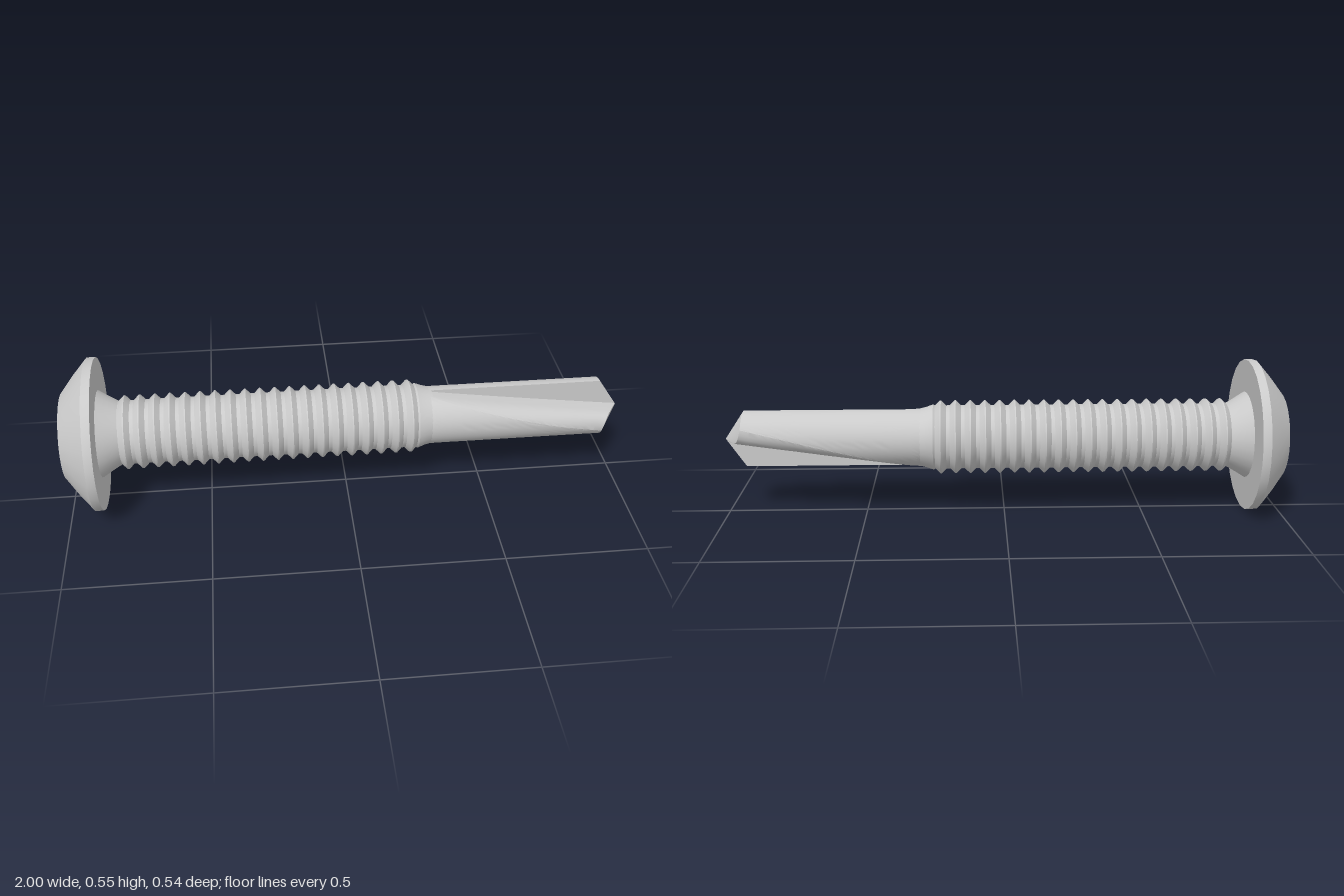
import * as THREE from 'three';
import { toCreasedNormals } from 'three/addons/utils/BufferGeometryUtils.js';

const SIDES = 26;
const HEAD_R = 0.273, FACE_R = 0.155, ROOT_R = 0.114, CREST_R = 0.132, DRILL_R = 0.104;
const DRILL_START = 0.27;

const material = new THREE.MeshStandardMaterial({ color: 0xcccccc });

function addMesh(group, name, geometry) {
  const mesh = new THREE.Mesh(toCreasedNormals(geometry, 0.5), material);
  mesh.name = name;
  group.add(mesh);
}

// Turned part along the x axis from [x, radius] pairs
function turned(profile) {
  const points = profile.map(([x, r]) => new THREE.Vector2(r, x));
  return new THREE.LatheGeometry(points, SIDES, Math.PI / 2).rotateZ(-Math.PI / 2);
}

// End face of the head with a cross-shaped recess that narrows inwards
function drivenFace(depth) {
  const rim = [];
  for (let i = 0; i < SIDES; i++) {
    const a = Math.PI / 2 + (i / SIDES) * Math.PI * 2;
    rim.push(new THREE.Vector2(Math.cos(a) * FACE_R, Math.sin(a) * FACE_R));
  }
  const shape = new THREE.Shape(rim);
  const w = 0.03, l = 0.138, cross = [];
  for (let k = 0; k < 4; k++) {
    for (const [x, y] of [[l, -w], [l, w], [w, w]]) {
      cross.push(new THREE.Vector2(x, y).rotateAround(new THREE.Vector2(), k * Math.PI / 2));
    }
  }
  shape.holes.push(new THREE.Path(cross));
  const geometry = new THREE.ExtrudeGeometry(shape, { depth, bevelEnabled: false });
  const p = geometry.attributes.position;
  for (let i = 0; i < p.count; i++) {
    const k = 1 - 0.3 * p.getZ(i) / depth;
    p.setXY(i, p.getX(i) * k, p.getY(i) * k);
  }
  return geometry.rotateY(Math.PI / 2).translate(-1, 0, 0);
}

// Drill section as [y, z] pairs; f is the height of the flute floor
function drillSection(f) {
  const a = Math.asin(f / DRILL_R) - 0.6 * (1 - f / DRILL_R);
  const half = [];
  for (let i = 0; i <= 18; i++) {
    const t = -Math.PI / 2 + (i / 18) * (a + Math.PI / 2);
    half.push([DRILL_R * Math.sin(t), DRILL_R * Math.cos(t)]);
  }
  // Rounded lip between the outside and the flute floor
  const corner = Math.sqrt(Math.max(0, DRILL_R ** 2 - f ** 2));
  const [y0, z0] = half[half.length - 1];
  for (let i = 1; i <= 6; i++) {
    const t = i / 6, u = 1 - t;
    half.push([
      u * u * y0 + 2 * u * t * f + t * t * f,
      u * u * z0 + 2 * u * t * corner * 0.93 + t * t * corner * 0.45,
    ]);
  }
  half.push([f, 0]);
  return [...half, ...half.map(([y, z]) => [-y, -z])];
}

// Two-fluted drill: sections lofted along x, closed by a conical point
function drill() {
  const rows = 20, positions = [], index = [];
  let n = 0;
  for (let i = 0; i <= rows; i++) {
    const s = i / rows;
    const section = drillSection(DRILL_R * (1 - 0.97 * s));
    n = section.length;
    for (const [y, z] of section) {
      const end = 1 - 0.07 * Math.hypot(y, z) / DRILL_R;
      positions.push(DRILL_START + s * (end - DRILL_START), y, z);
    }
  }
  const tip = positions.length / 3;
  positions.push(1, 0, 0);
  for (let j = 0; j < n; j++) {
    const k = (j + 1) % n;
    for (let i = 0; i < rows; i++) {
      const a = i * n + j, b = i * n + k;
      index.push(a, a + n, b, b, a + n, b + n);
    }
    index.push(tip, rows * n + k, rows * n + j);
  }
  const geometry = new THREE.BufferGeometry();
  geometry.setAttribute('position', new THREE.Float32BufferAttribute(positions, 3));
  geometry.setIndex(index);
  return geometry;
}

export function createModel() {
  const model = new THREE.Group();
  model.name = 'selfDrillingScrew';
  const screw = new THREE.Group();
  screw.name = 'screw';
  screw.position.y = HEAD_R;
  model.add(screw);

  // Head: domed cone, thin rim and flat underside
  addMesh(screw, 'head', turned([
    [-1, FACE_R], [-0.953, 0.217], [-0.905, HEAD_R], [-0.875, HEAD_R], [-0.875, 0.1],
  ]));
  const depth = 0.09;
  addMesh(screw, 'headFace', drivenFace(depth));
  const floor = new THREE.CircleGeometry(0.12, SIDES).rotateY(-Math.PI / 2);
  addMesh(screw, 'recessFloor', floor.translate(-1 + depth - 0.002, 0, 0));

  // Flared neck under the head
  addMesh(screw, 'neck', turned([[-0.875, 0.156], [-0.84, 0.134], [-0.805, ROOT_R]]));

  // Threaded shank: a row of ridges, then a taper to the drill
  const ridges = 20, start = -0.81, pitch = 1.065 / ridges;
  const profile = [];
  for (let i = 0; i < ridges; i++) {
    const x = start + i * pitch;
    profile.push([x, ROOT_R], [x + pitch * 0.12, ROOT_R],
      [x + pitch * 0.46, CREST_R], [x + pitch * 0.54, CREST_R], [x + pitch * 0.88, ROOT_R]);
  }
  profile.push([0.255, 0.118], [0.28, 0.109], [0.31, DRILL_R - 0.002]);
  addMesh(screw, 'threadedShank', turned(profile));

  addMesh(screw, 'drillPoint', drill());
  return model;
}
